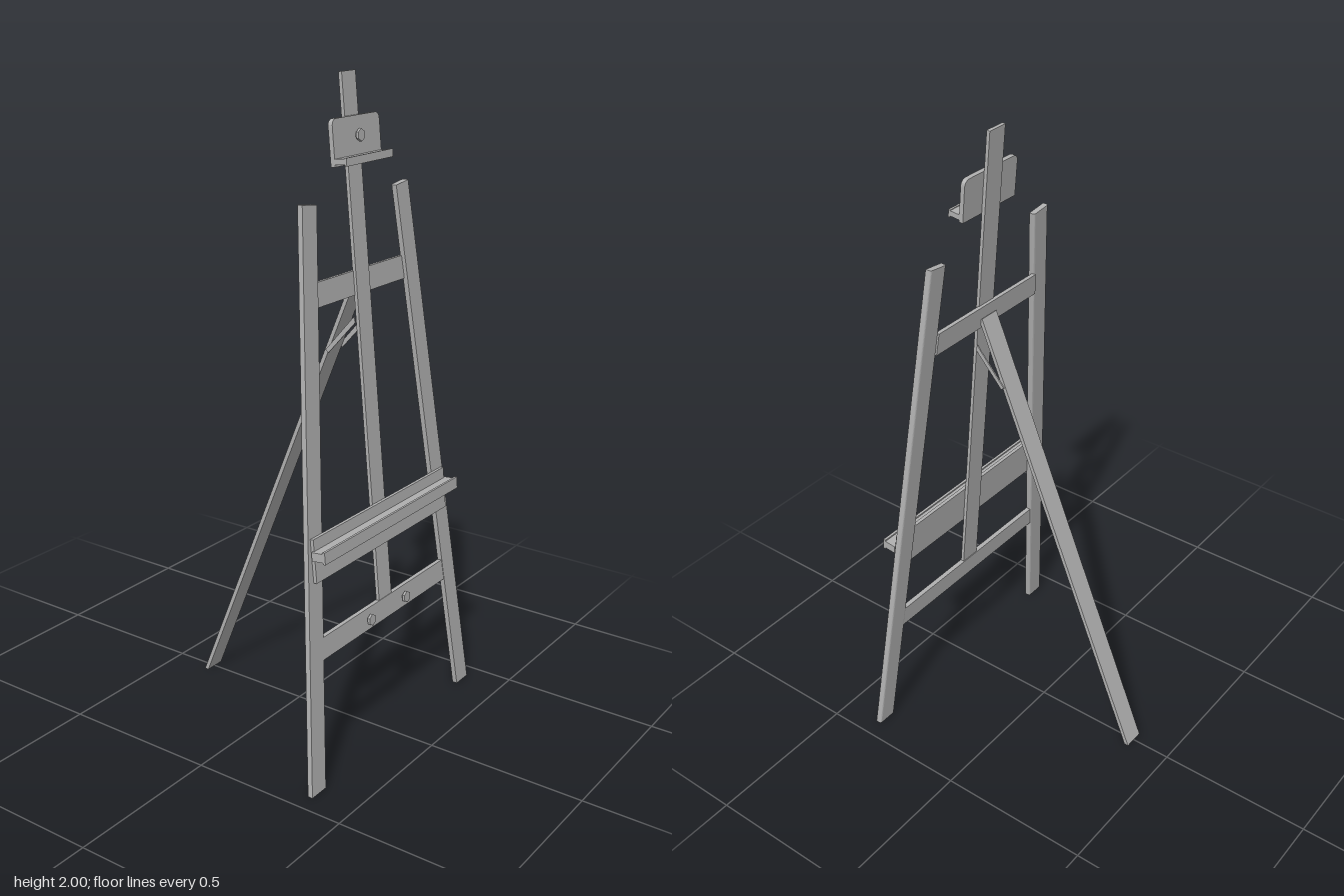
import * as THREE from 'three';

const SLOPE = 0.1;      // backward lean of the front frame (z per unit of y)
const BASE_Z = 0.36;    // frame centre plane at the floor
const LEG_TOP = 1.665;
const SPLAY = 0.178 / LEG_TOP;
const innerX = y => 0.378 - SPLAY * y;

export function createModel() {
  const grey = new THREE.MeshStandardMaterial({ color: 0xb0b0b0 });
  grey.name = 'easel grey';
  const model = new THREE.Group();
  model.name = 'easel';

  const add = (parent, name, geometry, x = 0, y = 0, z = 0) => {
    const mesh = new THREE.Mesh(geometry, grey);
    mesh.name = name;
    mesh.position.set(x, y, z);
    parent.add(mesh);
    return mesh;
  };
  const box = (parent, name, w, h, d, x, y, z) =>
    add(parent, name, new THREE.BoxGeometry(w, h, d), x, y, z);

  // Front legs: section with rounded back corners, leaned and splayed
  for (const side of [-1, 1]) {
    const w = 0.0335, d = 0.0095, r = 0.007;
    const section = new THREE.Shape();
    section.moveTo(-w, -d);
    section.lineTo(w, -d);
    section.lineTo(w, d - r);
    section.quadraticCurveTo(w, d, w - r, d);
    section.lineTo(-w + r, d);
    section.quadraticCurveTo(-w, d, -w, d - r);
    section.closePath();
    const geo = new THREE.ExtrudeGeometry(section, { depth: LEG_TOP, bevelEnabled: false, curveSegments: 4 });
    geo.rotateX(-Math.PI / 2);
    const p = geo.attributes.position;
    for (let i = 0; i < p.count; i++) {
      const x = p.getX(i);
      let y = p.getY(i);
      if (y > 1) y += side * x * 0.12;   // top is cut square to the leg
      p.setXYZ(i, x + side * (innerX(y) + w), y, p.getZ(i) + BASE_Z - SLOPE * y);
    }
    geo.computeVertexNormals();
    add(model, side > 0 ? 'leftLeg' : 'rightLeg', geo);
  }

  // Everything mounted on the leaning frame
  const frame = new THREE.Group();
  frame.name = 'leaningFrame';
  frame.position.z = BASE_Z;
  frame.rotation.x = -Math.atan(SLOPE);
  model.add(frame);
  const k = Math.hypot(1, SLOPE);        // height to length along the frame

  box(frame, 'mast', 0.068, 1.6 * k, 0.011, 0, 1.2 * k, 0.001);

  // Cross bars, ends cut to follow the legs
  const crossBar = (name, y0, y1, z0, depth) => {
    const a = innerX(y0) + 0.003, b = innerX(y1) + 0.003;
    const s = new THREE.Shape([
      new THREE.Vector2(-a, y0 * k), new THREE.Vector2(a, y0 * k),
      new THREE.Vector2(b, y1 * k), new THREE.Vector2(-b, y1 * k)]);
    add(frame, name, new THREE.ExtrudeGeometry(s, { depth, bevelEnabled: false }), 0, 0, z0);
  };
  crossBar('upperCrossBar', 1.38, 1.45, -0.014, 0.012);
  crossBar('lowerCrossBar', 0.383, 0.45, -0.007, 0.015);

  // Hexagonal knobs: a shaft and a head
  const knob = (name, x, y, z, r) => {
    const shaft = new THREE.CylinderGeometry(r * 0.5, r * 0.5, 0.012, 12).rotateX(Math.PI / 2);
    const head = new THREE.CylinderGeometry(r, r, 0.008, 6).toNonIndexed().rotateX(Math.PI / 2);
    head.computeVertexNormals();
    add(frame, name + 'Shaft', shaft, x, y, z + 0.004);
    add(frame, name + 'Head', head, x, y, z + 0.012);
  };
  knob('rightBarKnob', -0.097, 0.415 * k, 0.006, 0.018);
  knob('leftBarKnob', 0.097, 0.415 * k, 0.006, 0.018);

  // Canvas tray
  box(frame, 'trayPanel', 0.708, 0.13 * k, 0.011, 0, 0.69 * k, 0.0145);
  box(frame, 'trayShelf', 0.726, 0.026, 0.045, 0, 0.708 * k, 0.039);
  box(frame, 'trayLip', 0.726, 0.036, 0.008, 0, 0.708 * k, 0.058);

  // Top clamp: plate with rounded upper corners, ledge and knob
  const plate = new THREE.Shape();
  const pw = 0.117, ph = 0.13, pr = 0.022;
  plate.moveTo(-pw, 0);
  plate.lineTo(pw, 0);
  plate.lineTo(pw, ph - pr);
  plate.quadraticCurveTo(pw, ph, pw - pr, ph);
  plate.lineTo(-pw + pr, ph);
  plate.quadraticCurveTo(-pw, ph, -pw, ph - pr);
  plate.closePath();
  add(frame, 'clampPlate', new THREE.ExtrudeGeometry(plate, { depth: 0.014, bevelEnabled: false, curveSegments: 6 }),
    0, 1.75 * k, 0.0065);
  box(frame, 'clampLedge', 0.234, 0.016, 0.04, 0, 1.764 * k, 0.038);
  box(frame, 'clampLip', 0.234, 0.023, 0.006, 0, 1.763 * k, 0.056);
  knob('clampKnob', 0, 1.825 * k, 0.0195, 0.018);

  // Side profile in (z, y) extruded across x
  const sidePlate = (name, points, width, x) => {
    const s = new THREE.Shape(points.map(([z, y]) => new THREE.Vector2(-z, y)));
    const geo = new THREE.ExtrudeGeometry(s, { depth: width, bevelEnabled: false });
    geo.translate(0, 0, -width / 2).rotateY(Math.PI / 2);
    add(model, name, geo, x, 0, 0);
  };

  // Rear leg, cut flat at the floor
  sidePlate('rearLeg', [[-0.37, 0], [-0.356, 0], [0.212, 1.405], [0.201, 1.411]], 0.068, 0);

  // Stay straps joining the mast and the rear leg
  for (const side of [-1, 1]) {
    sidePlate(side > 0 ? 'leftStrap' : 'rightStrap',
      [[0.121, 1.203], [0.132, 1.196], [0.224, 1.3], [0.22, 1.318]], 0.004, side * 0.036);
  }

  return model;
}
